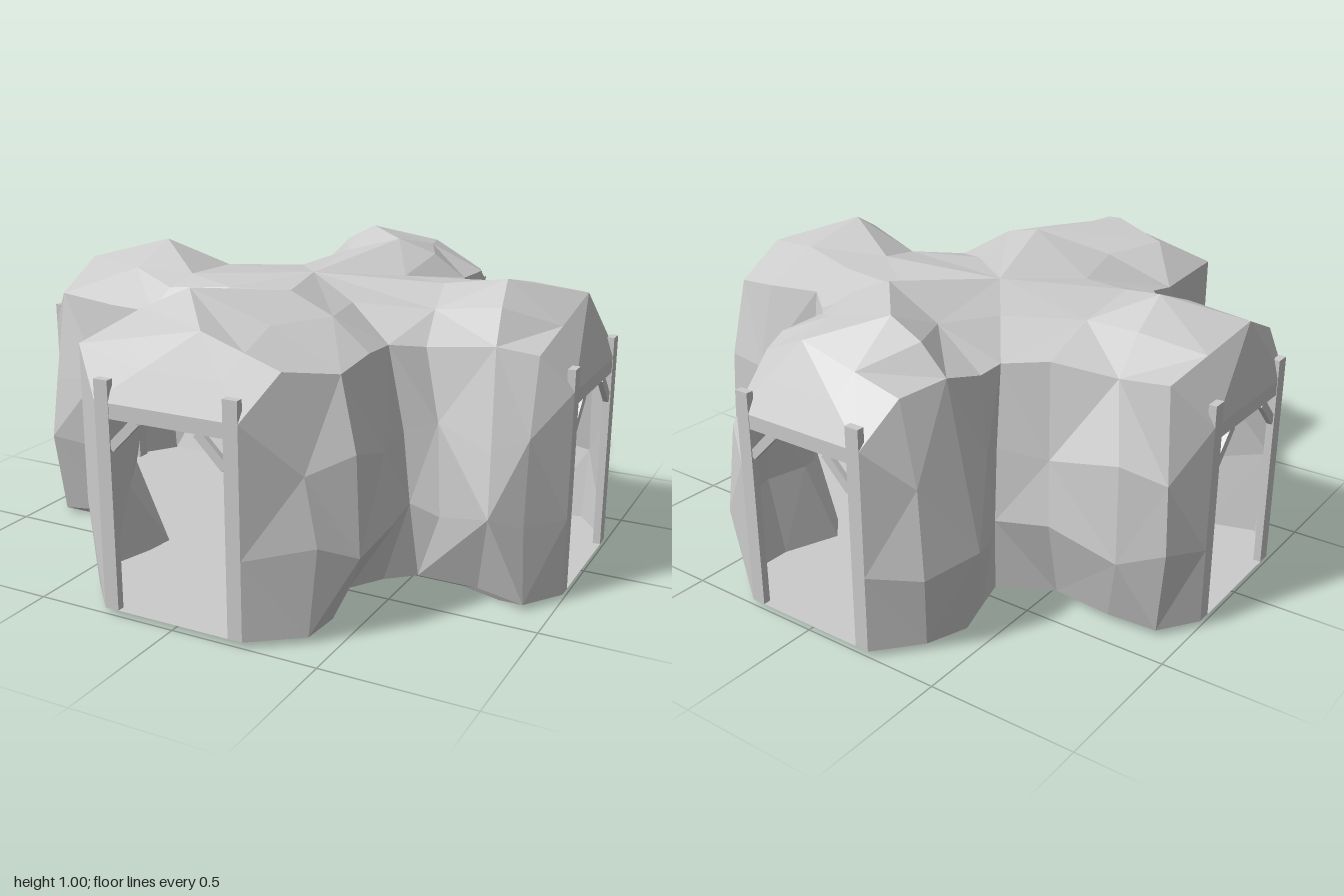
import * as THREE from 'three';

const rockMat = new THREE.MeshStandardMaterial({ color: 0xcccccc, flatShading: true });
const shellMat = new THREE.MeshStandardMaterial({ color: 0xcccccc, flatShading: true, side: THREE.DoubleSide });
const V = (x, y, z) => new THREE.Vector3(x, y, z);

// Four wall runs between doorways, each column: widest x, z then eave x, z
const runs = [
  [[.44, .88, .32, .87], [.53, .78, .44, .73], [.555, .6, .45, .56], [.52, .39, .45, .42],
    [.62, .38, .54, .33], [.81, .46, .77, .33], [.9, .38, .9, .3]],
  [[.87, -.47, .87, -.37], [.74, -.47, .72, -.38], [.54, -.4, .51, -.36], [.46, -.47, .43, -.42],
    [.38, -.6, .34, -.51], [.43, -.73, .34, -.7], [.42, -.92, .29, -.82]],
  [[-.4, -.9, -.28, -.85], [-.48, -.73, -.33, -.69], [-.42, -.6, -.36, -.56], [-.37, -.5, -.37, -.47],
    [-.55, -.46, -.5, -.39], [-.8, -.46, -.71, -.33], [-.94, -.4, -.89, -.34]],
  [[-.9, .43, -.91, .31], [-.74, .38, -.68, .33], [-.57, .4, -.5, .34], [-.46, .52, -.41, .42],
    [-.42, .62, -.4, .56], [-.4, .78, -.4, .73], [-.4, .87, -.4, .87]],
];
const eaveHeights = [.82, .85, .83, .82];

// Footprint of the same columns, undercut between the arms
const feet = [
  [[.41, .88], [.42, .74], [.37, .52], [.44, .41], [.53, .33], [.74, .33], [.91, .38]],
  [[.87, -.42], [.72, -.4], [.49, -.4], [.39, -.44], [.31, -.53], [.38, -.72], [.38, -.9]],
  [[-.37, -.86], [-.42, -.72], [-.38, -.58], [-.35, -.47], [-.53, -.37], [-.74, -.39], [-.91, -.38]],
  [[-.89, .39], [-.72, .34], [-.51, .35], [-.37, .47], [-.38, .57], [-.42, .72], [-.38, .86]],
];

// Ridge points of the front, right, back and left arms, from doorway inwards
const ridges = [
  [V(.07, .93, .9), V(-.11, 1, .68), V(.12, .97, .45)],
  [V(.92, .93, -.14), V(.72, 1, .1), V(.44, .93, -.06)],
  [V(.08, .93, -.87), V(-.12, 1, -.69), V(.1, 1, -.44)],
  [V(-.94, .93, .08), V(-.68, 1, -.04), V(-.45, .92, .15)],
];
const centre = V(-.05, .93, -.03);

// Doorway edge: side -1 / +1 of the opening in arm k
const doorPoint = (k, side, y) => V(.25 * side, y, 1).applyAxisAngle(V(0, 1, 0), k * Math.PI / 2);

function meshFrom(name, tris, mat) {
  const geo = new THREE.BufferGeometry().setFromPoints(tris);
  geo.computeVertexNormals();
  const mesh = new THREE.Mesh(geo, mat);
  mesh.name = name;
  return mesh;
}

// Columns of points from base to ridge for one wall run
function runColumns(k) {
  const a = ridges[k], b = ridges[(k + 1) % 4];
  return [a[0], a[0], a[1], a[2], centre, b[2], b[1], b[0], b[0]].map((ridge, i) => {
    const door = i === 0 || i === 8;
    let col;
    if (door) {
      const arm = i ? (k + 1) % 4 : k, side = i ? -1 : 1;
      col = [.02, .28, .52, .7].map(y => doorPoint(arm, side, y));
    } else {
      const [x, z, ex, ez] = runs[k][i - 1], [fx, fz] = feet[k][i - 1];
      const wob = .03 * Math.sin(i * 2.3 + k * 1.7);
      const at = (t, y) => V(x + (ex - x) * t, y, z + (ez - z) * t);
      col = [V(fx, .02, fz), at(0, .29 + wob), at(.3 + wob * 3, .55 - wob), at(1, eaveHeights[k] + wob * .5)];
    }
    // broad shoulders between eave and ridge
    const shoulder = col[3].clone().lerp(ridge, .45);
    if (i > 1 && i < 7) shoulder.y += .025;
    return [...col, shoulder, ridge];
  });
}

// Thin rock skin with four door openings, seen from outside and inside
function rockShell(all) {
  const tris = [];
  const tri = (a, b, c) => {
    if (!(a.equals(b) || b.equals(c) || a.equals(c))) tris.push(a, b, c);
  };
  all.forEach((cols, k) => {
    for (let i = 0; i < 8; i++) for (let r = 0; r < 5; r++) {
      const a = cols[i][r], b = cols[i + 1][r], c = cols[i + 1][r + 1], d = cols[i][r + 1];
      if ((i + r + k) % 2) { tri(a, b, c); tri(a, c, d); } else { tri(a, b, d); tri(b, c, d); }
    }
    // rock above the doorway
    const R = cols[0], L = all[(k + 3) % 4][8];
    tri(L[3], R[3], R[4]);
    tri(L[3], R[4], L[4]);
    tri(L[4], R[4], R[5]);
  });
  return meshFrom('rockShell', tris, shellMat);
}

// Floor inside and shallow underside, both fanned from the centre
function ground(all) {
  const edge = all.flatMap(cols => cols.map(c => c[0]));
  const floor = [], under = [];
  edge.forEach((p, i) => {
    const q = edge[(i + 1) % edge.length];
    const p2 = V(p.x * .9, 0, p.z * .9), q2 = V(q.x * .9, 0, q.z * .9);
    floor.push(V(0, .02, 0), p, q);
    under.push(p, p2, q, q, p2, q2, V(0, 0, 0), q2, p2);
  });
  return [meshFrom('floor', floor, rockMat), meshFrom('underside', under, rockMat)];
}

// Timber door frame: posts, lintel beam and diagonal braces
function doorFrame(k) {
  const frame = new THREE.Group();
  frame.name = 'doorFrame';
  const bar = (name, w, h, d, x, y, tilt = 0) => {
    const m = new THREE.Mesh(new THREE.BoxGeometry(w, h, d), rockMat);
    m.name = name;
    m.position.set(x, y, .987);
    m.rotation.z = tilt;
    frame.add(m);
  };
  for (const s of [-1, 1]) {
    bar('post', .05, .75, .026, .225 * s, .395);
    bar('brace', .135, .03, .018, .155 * s, .605, -s * Math.PI / 4);
  }
  bar('lintel', .5, .05, .022, 0, .675);
  frame.rotation.y = k * Math.PI / 2;
  return frame;
}

export function createModel() {
  const model = new THREE.Group();
  model.name = 'caveCrossing';
  const all = runs.map((_, k) => runColumns(k));
  model.add(rockShell(all), ...ground(all));
  for (let k = 0; k < 4; k++) model.add(doorFrame(k));
  return model;
}
